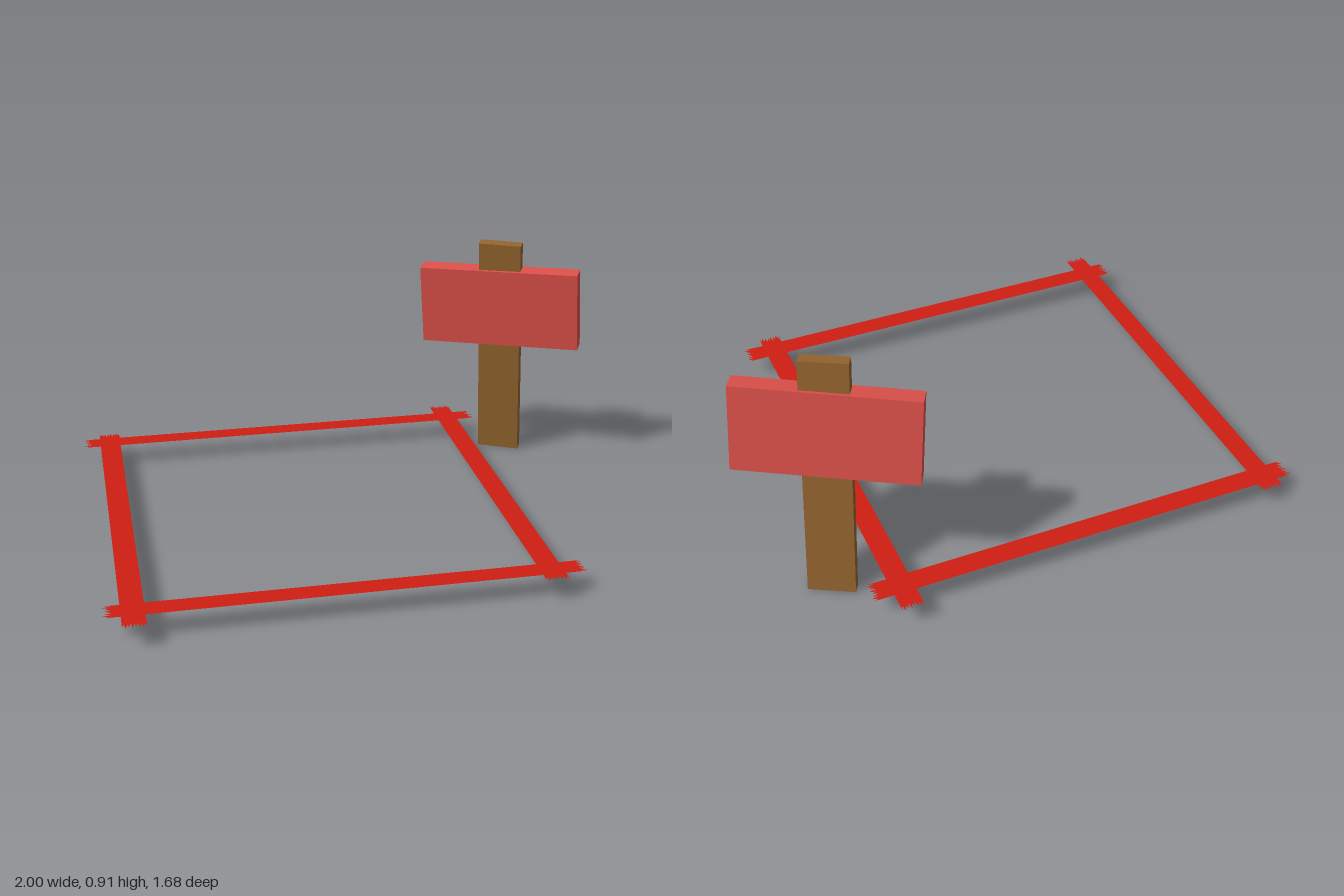
import * as THREE from 'three';

const tapeMat = new THREE.MeshStandardMaterial({ color: 0xd01e12, side: THREE.DoubleSide });
const boardMat = new THREE.MeshStandardMaterial({ color: 0xdd504a });
const postMat = new THREE.MeshStandardMaterial({ color: 0x94642e });

const LENGTH = 1.645, WIDTH = 0.08, TEETH = 7;
// how far each point of a torn end is set back from the tip
const TEAR = [0.006, 0.028, 0.0, 0.022, 0.008, 0.03, 0.002, 0.024, 0.01, 0.03, 0.004, 0.026, 0.0, 0.02, 0.008];

// Flat strip lying along x with torn, zigzag ends
function tapeGeometry() {
  const shape = new THREE.Shape();
  const steps = TEETH * 2;
  for (const side of [1, -1]) {
    for (let i = 0; i <= steps; i++) {
      const x = side * (LENGTH / 2 - TEAR[i]);
      const y = side * WIDTH * (i / steps - 0.5);
      if (side === 1 && i === 0) shape.moveTo(x, y);
      else shape.lineTo(x, y);
    }
  }
  shape.closePath();
  return new THREE.ShapeGeometry(shape).rotateX(-Math.PI / 2);
}

function box(name, w, h, d, material) {
  const mesh = new THREE.Mesh(new THREE.BoxGeometry(w, h, d), material);
  mesh.name = name;
  return mesh;
}

export function createModel() {
  const model = new THREE.Group();
  model.name = 'markedPlot';

  // Square outline of four overlapping tape strips
  const outline = new THREE.Group();
  outline.name = 'tapeOutline';
  const strip = tapeGeometry();
  const strips = [
    ['backTape', -0.177, -0.72, 0],
    ['frontTape', -0.17, 0.715, 0],
    ['rightTape', -0.895, 0.015, Math.PI / 2],
    ['leftTape', 0.53, -0.02, Math.PI / 2],
  ];
  for (const [name, x, z, turn] of strips) {
    const tape = new THREE.Mesh(strip, tapeMat);
    tape.name = name;
    tape.position.set(x, turn ? 0.001 : 0, z);
    tape.rotation.y = turn;
    outline.add(tape);
  }
  outline.position.y = 0.086;
  outline.rotation.x = -0.004;
  model.add(outline);

  // Signpost turned to the corner and leaning forward
  const sign = new THREE.Group();
  sign.name = 'signpost';
  const post = box('post', 0.168, 0.914, 0.046, postMat);
  post.position.y = 0.457;
  const board = box('signBoard', 0.636, 0.322, 0.07, boardMat);
  board.position.y = 0.643;
  board.rotation.z = 0.03;
  sign.add(post, board);
  sign.rotation.order = 'YXZ';
  sign.rotation.set(0.117, -0.49, 0);
  sign.position.set(0.725, 0.003, -0.565);
  model.add(sign);

  return model;
}
